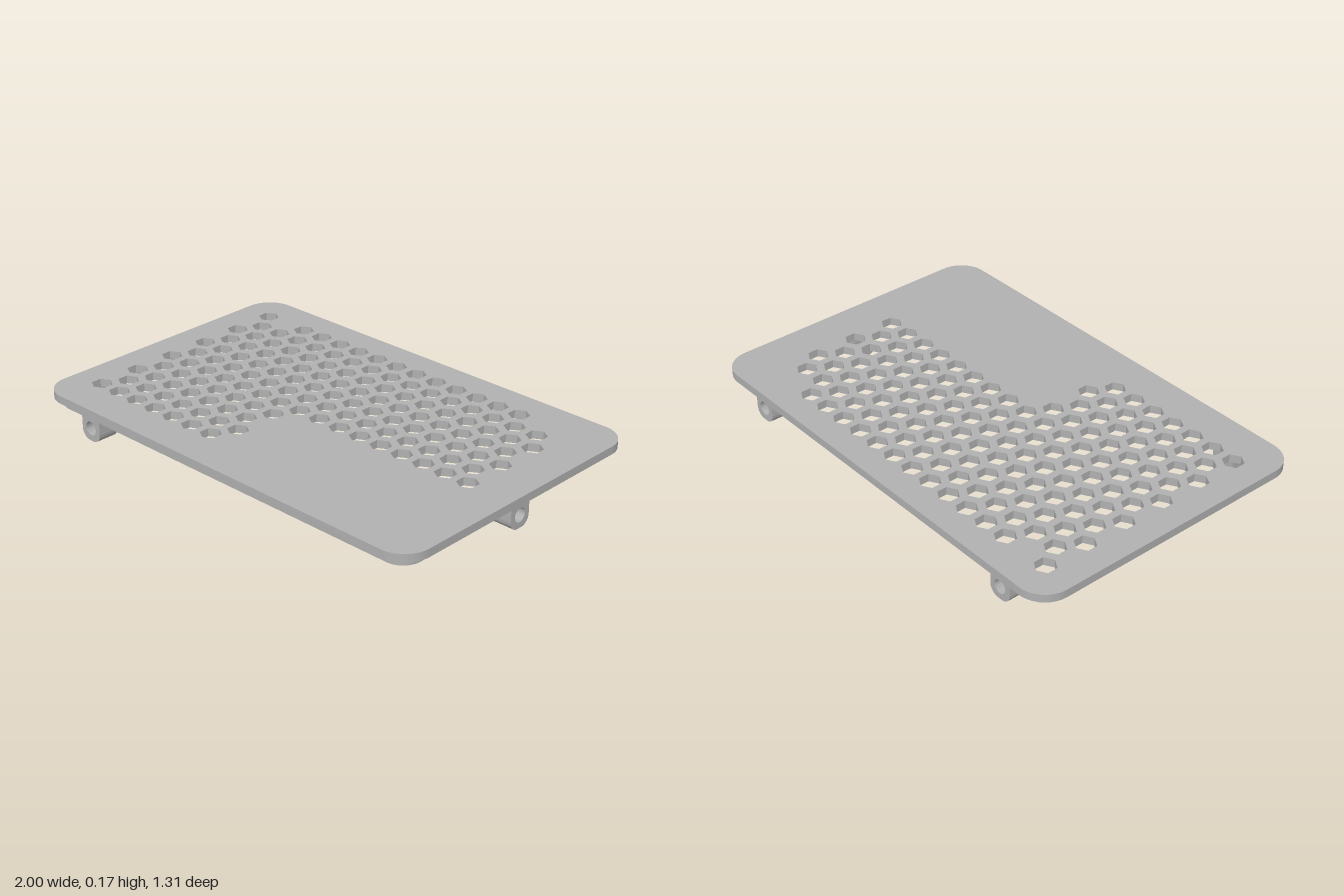
import * as THREE from 'three';
import { toCreasedNormals } from 'three/addons/utils/BufferGeometryUtils.js';

const grey = new THREE.MeshStandardMaterial({ color: 0xb0b0b0 });
grey.name = 'grey plastic';

// Rounded rectangle centred on the origin
function roundedRect(target, hx, hy, r) {
  target.moveTo(-hx + r, -hy);
  target.lineTo(hx - r, -hy);
  target.absarc(hx - r, -hy + r, r, -Math.PI / 2, 0);
  target.lineTo(hx, hy - r);
  target.absarc(hx - r, hy - r, r, 0, Math.PI / 2);
  target.lineTo(-hx + r, hy);
  target.absarc(-hx + r, hy - r, r, Math.PI / 2, Math.PI);
  target.lineTo(-hx, -hy + r);
  target.absarc(-hx + r, -hy + r, r, Math.PI, Math.PI * 1.5);
  return target;
}

function extrude(shape, depth) {
  const geo = new THREE.ExtrudeGeometry(shape, { depth, bevelEnabled: false, curveSegments: 12 });
  return toCreasedNormals(geo, 0.6);
}

function addMesh(parent, name, geo) {
  const mesh = new THREE.Mesh(geo, grey);
  mesh.name = name;
  parent.add(mesh);
  return mesh;
}

// Lug with a rounded foot; its blind screw hole opens at local z = 0 and the body runs to -depth
function makeLug(name, depth) {
  const w = 0.053, r = 0.042, top = 0.13, holeDepth = 0.06;
  const profile = () => {
    const s = new THREE.Shape();
    s.moveTo(w, top);
    s.lineTo(-w, top);
    s.lineTo(-w, r);
    s.absarc(-w + r, r, r, Math.PI, Math.PI * 1.5);
    s.lineTo(w - r, 0);
    s.absarc(w - r, r, r, -Math.PI / 2, 0);
    s.lineTo(w, top);
    return s;
  };
  const lug = new THREE.Group();
  lug.name = name;
  const bored = profile();
  bored.holes.push(new THREE.Path().absarc(0, 0.055, 0.03, 0, Math.PI * 2, true));
  addMesh(lug, 'lugBoredEnd', extrude(bored, holeDepth)).position.z = -holeDepth;
  addMesh(lug, 'lugSolidEnd', extrude(profile(), depth - holeDepth)).position.z = -depth;
  return lug;
}

export function createModel() {
  const model = new THREE.Group();
  model.name = 'ventedCover';

  // Top plate with hexagonal vents: first and last hole index of each row, back to front
  const plate = roundedRect(new THREE.Shape(), 1, 0.655, 0.12);
  const lastHole = [13, 14, 15, 14, 15, 14, 15, 6, 6, 6, 6];
  lastHole.forEach((last, row) => {
    for (let i = 0; i <= last; i++) {
      if (row === 0 && i === 1) continue; // solid above the rear lug
      const x = -0.851 + (i + (row % 2) / 2) * 0.1092;
      const z = -0.504 + row * 0.0962;
      const corners = [];
      for (let k = 0; k < 6; k++) {
        const a = Math.PI / 2 - k * Math.PI / 3;
        corners.push(new THREE.Vector2(x + 0.045 * Math.cos(a), -z + 0.045 * Math.sin(a)));
      }
      plate.holes.push(new THREE.Path(corners));
    }
  });
  const plateMesh = addMesh(model, 'ventedPlate', extrude(plate, 0.035));
  plateMesh.rotation.x = -Math.PI / 2;
  plateMesh.position.y = 0.13;

  // Locating rim below the plate
  const rim = roundedRect(new THREE.Shape(), 0.96, 0.618, 0.085);
  rim.holes.push(roundedRect(new THREE.Path(), 0.923, 0.581, 0.05));
  const rimMesh = addMesh(model, 'rim', extrude(rim, 0.035));
  rimMesh.rotation.x = -Math.PI / 2;
  rimMesh.position.y = 0.095;

  // Mounting lugs, each facing outward: name, x, z, turn, depth
  const lugs = [
    ['frontLug', -0.737, 0.62, 0, 0.092],
    ['backRightLug', -0.737, -0.62, Math.PI, 0.12],
    ['backLeftLug', 0.745, -0.62, Math.PI, 0.12],
    ['leftLug', 0.961, -0.025, Math.PI / 2, 0.106],
  ];
  for (const [name, x, z, turn, depth] of lugs) {
    const lug = makeLug(name, depth);
    lug.position.set(x, 0, z);
    lug.rotation.y = turn;
    model.add(lug);
  }
  return model;
}
